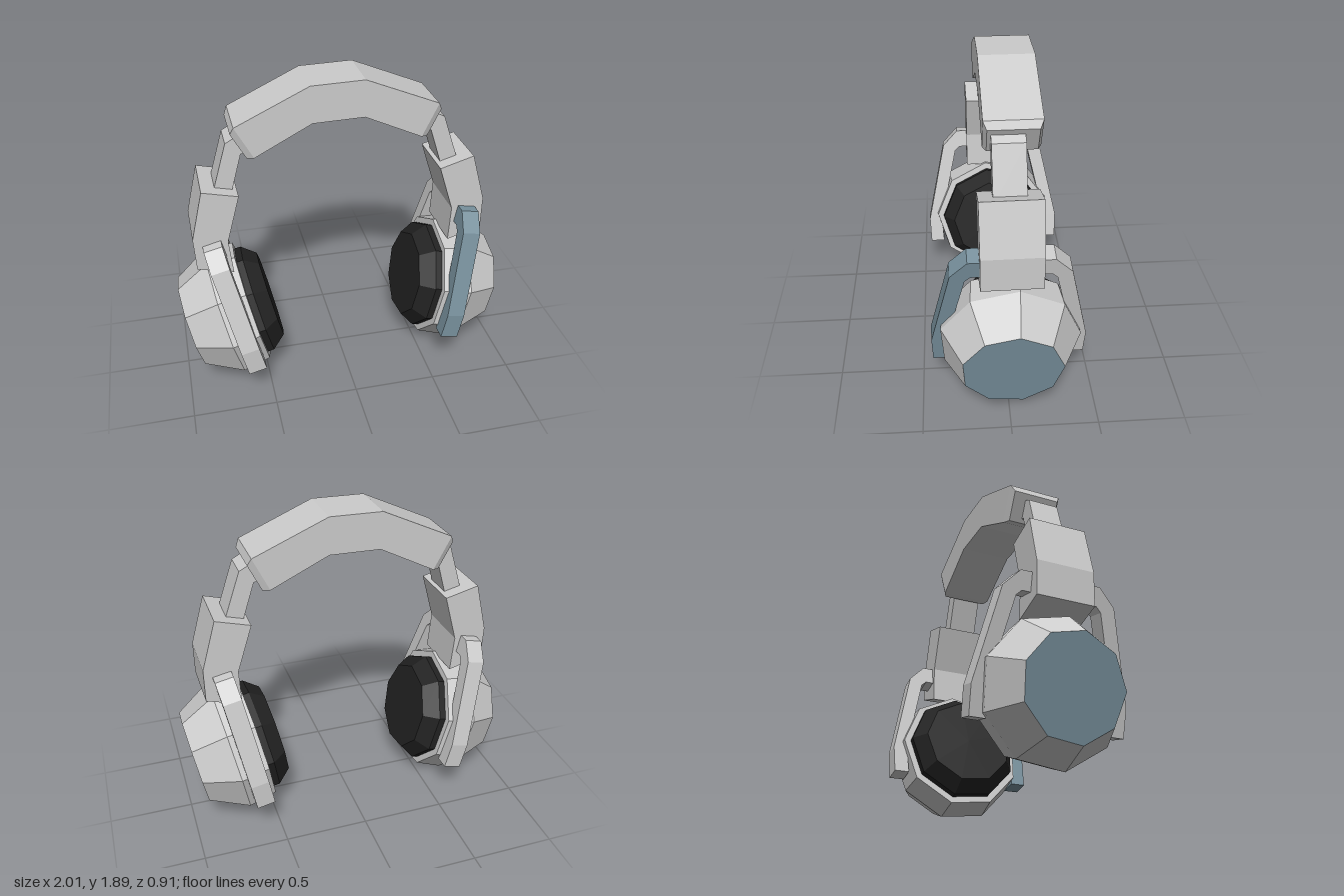
import * as THREE from 'three';

const mat = (color) => new THREE.MeshStandardMaterial({ color, flatShading: true, side: THREE.DoubleSide });

// Box-like sweep: each section is [outerX, outerY, innerX, innerY, halfDepth], ordered clockwise.
function sweep(sections) {
  const pos = [], idx = [];
  for (const [ox, oy, ix, iy, h] of sections) {
    pos.push(ox, oy, h, ox, oy, -h, ix, iy, -h, ix, iy, h);
  }
  const last = (sections.length - 1) * 4;
  for (let i = 0; i < last; i += 4) {
    for (let k = 0; k < 4; k++) {
      const a = i + k, b = i + (k + 1) % 4;
      idx.push(a, a + 4, b, b, a + 4, b + 4);
    }
  }
  idx.push(0, 1, 2, 0, 2, 3, last, last + 2, last + 1, last, last + 3, last + 2);
  const g = new THREE.BufferGeometry();
  g.setAttribute('position', new THREE.Float32BufferAttribute(pos, 3));
  g.setIndex(idx);
  const flat = g.toNonIndexed();
  flat.computeVertexNormals();
  return flat;
}

// Nine-sided turned part whose axis points outward along x; points are [radius, distance].
function turned(points) {
  const g = new THREE.LatheGeometry(points.map(([r, a]) => new THREE.Vector2(r, a)), 9, -1.69);
  return g.rotateZ(-Math.PI / 2);
}

export function createModel() {
  const model = new THREE.Group();
  model.name = 'headphones';
  const grey = mat(0xcccccc), blue = mat(0x7a939f), black = mat(0x222222);

  const add = (parent, name, geometry, material) => {
    const mesh = new THREE.Mesh(geometry, material);
    mesh.name = name;
    parent.add(mesh);
    return mesh;
  };

  // Padded headband with bevelled ends
  const half = [
    [0.155, 1.885, 0.15, 1.665, 0.157],
    [0.585, 1.695, 0.485, 1.5, 0.157],
    [0.605, 1.65, 0.525, 1.495, 0.137],
  ];
  const mirrored = half.map(([ox, oy, ix, iy, h]) => [-ox, oy, -ix, iy, h]).reverse();
  add(model, 'headband', sweep([...mirrored, ...half]), grey).position.z = -0.027;

  function makeSide(name, frontArmMaterial) {
    const side = new THREE.Group();
    side.name = name;

    // Slider rod and its housing
    add(side, 'sliderRod', sweep([
      [0.56, 1.63, 0.52, 1.52, 0.09],
      [0.635, 1.59, 0.555, 1.515, 0.09],
      [0.735, 1.28, 0.635, 1.25, 0.09],
    ]), grey);
    add(side, 'sliderHousing', sweep([
      [0.80, 1.35, 0.595, 1.295, 0.17],
      [0.88, 1.05, 0.68, 1.01, 0.17],
      [0.875, 0.85, 0.665, 0.79, 0.17],
    ]), grey);

    // Tilted ear unit, origin at the centre of the outer cap
    const ear = new THREE.Group();
    ear.name = 'earUnit';
    ear.position.set(0.945, 0.35, 0);
    ear.rotation.z = -0.215;
    side.add(ear);
    add(ear, 'cupShell', turned([[0, -0.39], [0.385, -0.39], [0.408, -0.22], [0.288, 0]]), grey);
    add(ear, 'cupCap', turned([[0.288, 0], [0, 0]]), blue);
    add(ear, 'earPad', turned([[0, -0.515], [0.275, -0.515], [0.345, -0.43], [0.345, -0.38]]), black);

    // Bent yoke arms, front and back
    const arm = [
      [0.10, 0.61, 0.10, 0.50, 0.055],
      [0.235, 0.61, 0.22, 0.50, 0.055],
      [0.33, 0.51, 0.25, 0.47, 0.055],
      [0.445, -0.02, 0.36, -0.02, 0.055],
      [0.44, -0.185, 0.35, -0.185, 0.055],
    ];
    add(ear, 'frontArm', sweep(arm).rotateY(-Math.PI / 2), frontArmMaterial).position.x = -0.307;
    add(ear, 'backArm', sweep(arm).rotateY(Math.PI / 2), grey).position.x = -0.307;
    return side;
  }

  const left = makeSide('leftSide', blue);
  const right = makeSide('rightSide', grey);
  right.rotation.y = Math.PI;
  model.add(left, right);

  // Slight lean of the whole headset
  const root = new THREE.Group();
  root.name = 'headset';
  model.rotation.set(0, 0.012, 0.022);
  model.position.x = 0.01;
  root.add(model);
  return root;
}
